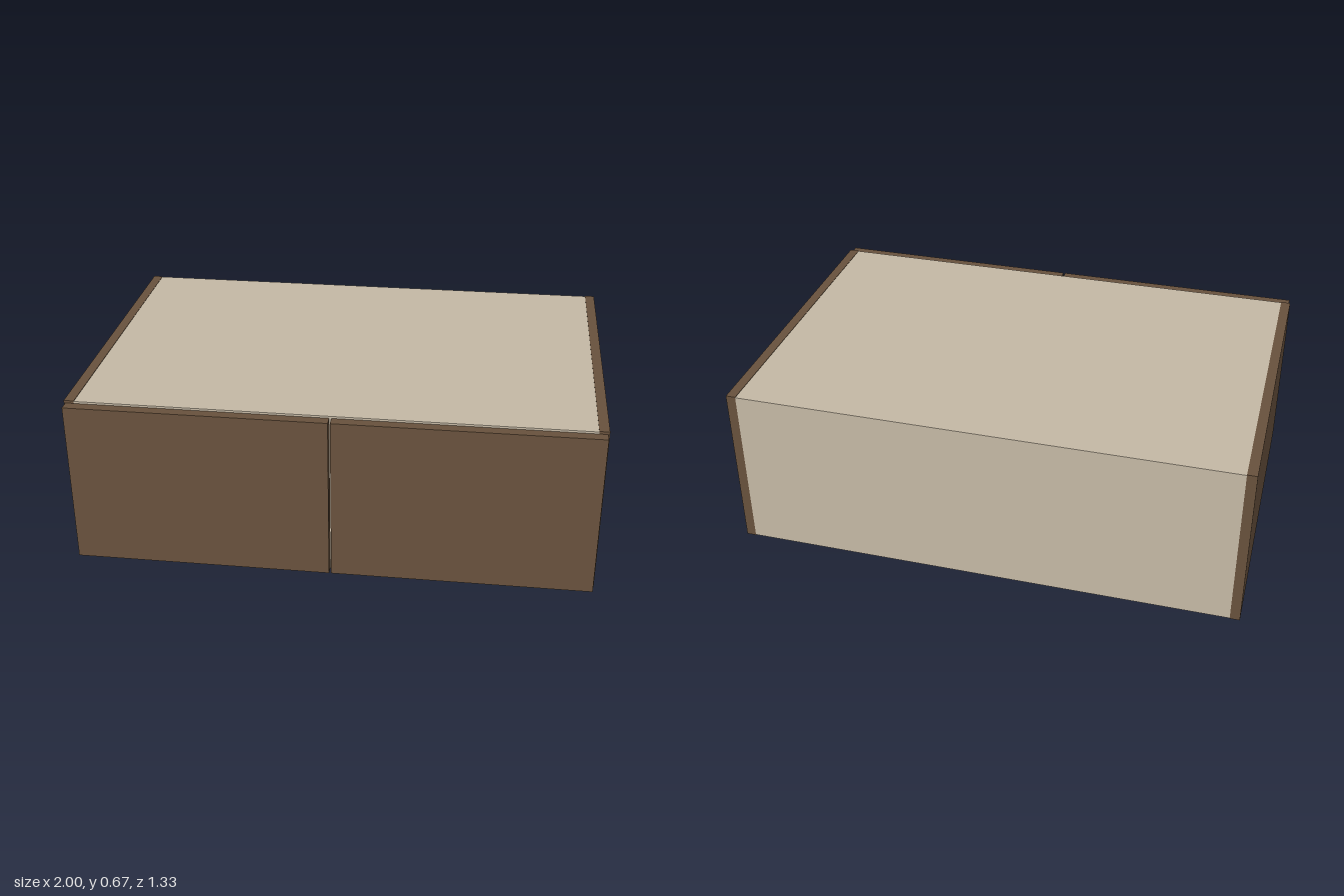
import * as THREE from 'three';

export function createModel() {
  const cabinet = new THREE.Group();
  cabinet.name = 'cabinet';
  const walnut = new THREE.MeshStandardMaterial({ color: 0x69523d });
  walnut.name = 'walnut brown';
  const beige = new THREE.MeshStandardMaterial({ color: 0xc6baa6 });
  beige.name = 'carcass beige';

  // Box panel given by its lower and upper corners
  function panel(name, material, [x0, y0, z0], [x1, y1, z1]) {
    const mesh = new THREE.Mesh(new THREE.BoxGeometry(x1 - x0, y1 - y0, z1 - z0), material);
    mesh.position.set((x0 + x1) / 2, (y0 + y1) / 2, (z0 + z1) / 2);
    mesh.name = name;
    cabinet.add(mesh);
  }

  const height = 0.667, back = -0.663, front = 0.62, inner = 0.962, board = 0.038;

  // Carcass boards between the side panels
  panel('bottomPanel', beige, [-inner, 0.002, back], [inner, board, front]);
  panel('topPanel', beige, [-inner, height - board, back], [inner, height - 0.002, front]);
  panel('backPanel', beige, [-inner, board, back], [inner, height - board, back + board]);

  // Side panels and doors, mirrored, with narrow gaps around the doors
  for (const [side, s] of [['left', 1], ['right', -1]]) {
    const span = (a, b) => (s > 0 ? [a, b] : [-b, -a]);
    const [sx0, sx1] = span(inner, 1);
    panel(side + 'SidePanel', walnut, [sx0, 0, back], [sx1, height, front]);
    const [dx0, dx1] = span(0.004, 0.994);
    panel(side + 'Door', walnut, [dx0, 0.009, front + 0.002], [dx1, height - 0.009, 0.663]);
  }
  return cabinet;
}
